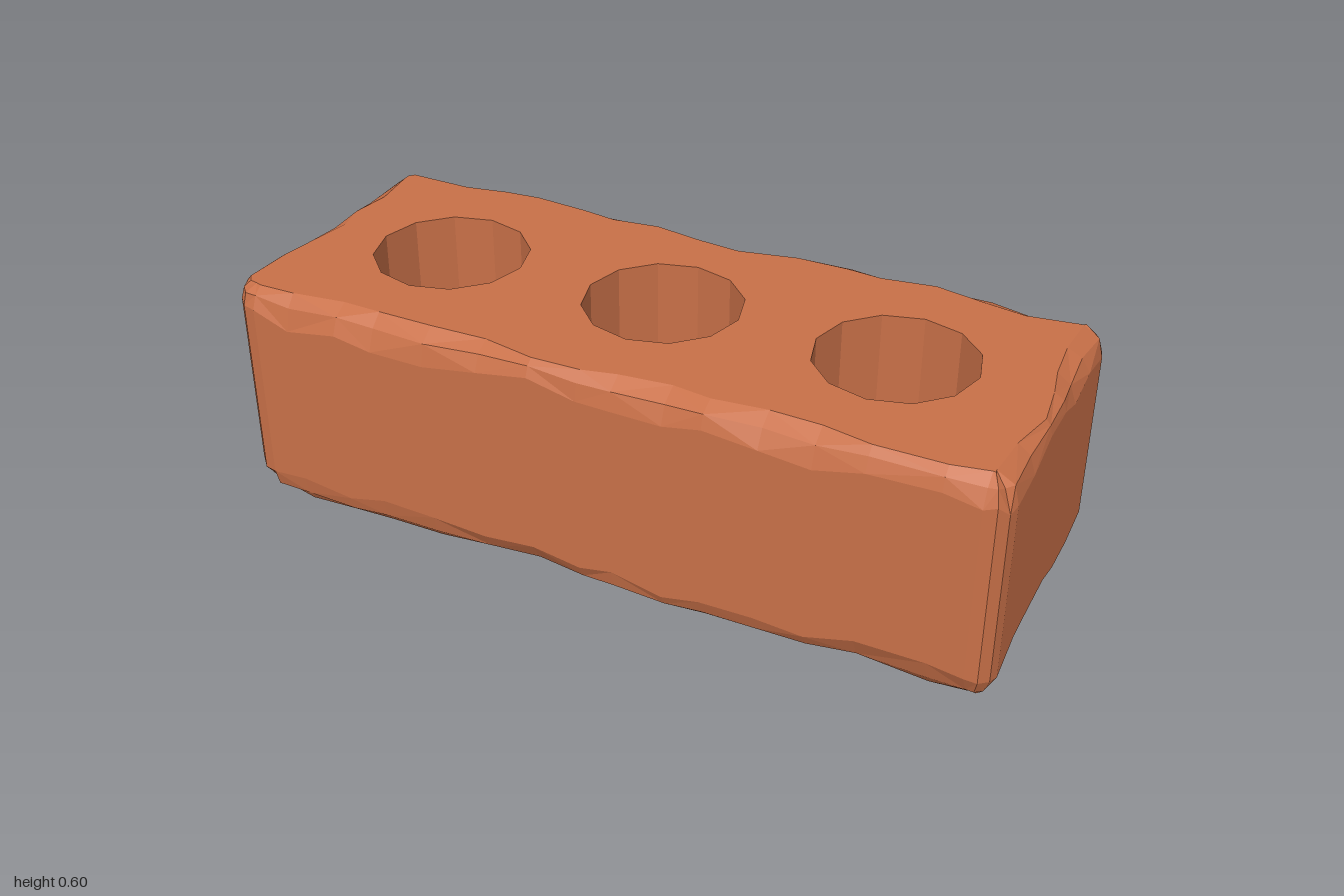
import * as THREE from 'three';

const W = 1, D = 0.4, H = 0.6, HOLE = 0.2, HOLES = [-0.6, 0, 0.6];

// small seeded generator for the chipped edges
function seeded(seed) {
  let s = seed;
  return () => (s = (s * 16807) % 2147483647) / 2147483647;
}

// rounded rectangle in x and z: each point holds its outward direction
function outline(rand) {
  const pts = [];
  const corners = [[1, 1, 0.06], [-1, 1, 0.07], [-1, -1, 0.08], [1, -1, 0.06]];
  corners.forEach(([sx, sz, r], k) => {
    const cx = sx * (W - r), cz = sz * (D - r);
    for (let i = 0; i <= 3; i++) {
      const a = (k + i / 3) * Math.PI / 2;
      const nx = Math.cos(a), nz = Math.sin(a);
      pts.push({ x: cx + nx * r, z: cz + nz * r, nx, nz });
    }
    // irregular steps along the straight side that follows
    const [tx, tz, tr] = corners[(k + 1) % 4];
    const long = k % 2 === 0, n = long ? 15 : 6;
    const a = (k + 1) * Math.PI / 2, nx = Math.cos(a), nz = Math.sin(a);
    for (let i = 1; i < n; i++) {
      const t = (i + (rand() - 0.5) * 0.6) / n;
      pts.push(long
        ? { x: THREE.MathUtils.lerp(cx, tx * (W - tr), t), z: sz * D, nx, nz }
        : { x: sx * W, z: THREE.MathUtils.lerp(cz, tz * (D - tr), t), nx, nz });
    }
  });
  return pts;
}

function brickShell() {
  const rand = seeded(4711);
  const base = outline(rand);
  const at = (p, inset, y) => [p.x - p.nx * inset, y, p.z - p.nz * inset];

  // worn edge: how far it cuts into the flat face and down the side
  const wear = (p, phase) => {
    const wave = 0.5 + 0.3 * Math.sin(p.x * 7 + p.z * 5 + phase) + 0.2 * Math.sin(p.x * 15 - p.z * 9 + phase);
    return { cut: 0.012 + 0.045 * wave + 0.025 * rand(), drop: 0.03 + 0.04 * wave + 0.035 * rand() };
  };

  // vertical profile of every column, bottom to top
  const columns = base.map((p) => {
    const b = wear(p, 1), t = wear(p, 4);
    return [
      at(p, b.cut, 0),
      at(p, b.cut * (0.25 + 0.25 * rand()), b.drop * 0.35),
      at(p, 0, b.drop),
      at(p, 0, H - t.drop),
      at(p, t.cut * (0.2 + 0.25 * rand()), H - t.drop * 0.35),
      at(p, t.cut, H),
    ];
  });

  const pos = [];
  const tri = (a, b, c) => pos.push(...a, ...b, ...c);

  // sides and worn edges, with the diagonal alternating
  columns.forEach((col, j) => {
    const next = columns[(j + 1) % columns.length];
    for (let i = 0; i < col.length - 1; i++) {
      const [a, b, c, d] = [col[i], col[i + 1], next[i + 1], next[i]];
      if ((i + j) % 2) { tri(a, b, d); tri(b, c, d); }
      else { tri(a, b, c); tri(a, c, d); }
    }
  });

  // flat top and bottom, pierced by the holes
  const holes = HOLES.map((x) => Array.from({ length: 12 }, (_, i) => {
    const a = i * Math.PI / 6;
    return new THREE.Vector2(x + HOLE * Math.cos(a), HOLE * Math.sin(a));
  }));
  for (const [row, y, up] of [[0, 0, false], [5, H, true]]) {
    const rim = columns.map((c) => new THREE.Vector2(c[row][0], c[row][2]));
    const all = [...rim, ...holes.flat()];
    for (const f of THREE.ShapeUtils.triangulateShape(rim, holes)) {
      const [a, b, c] = f.map((i) => all[i]);
      const facesDown = (b.x - a.x) * (c.y - a.y) - (b.y - a.y) * (c.x - a.x) > 0;
      const [p, q, r] = [a, b, c].map((v) => [v.x, y, v.y]);
      if (facesDown === up) tri(p, r, q); else tri(p, q, r);
    }
  }

  const geo = new THREE.BufferGeometry();
  geo.setAttribute('position', new THREE.Float32BufferAttribute(pos, 3));
  geo.computeVertexNormals();
  return geo;
}

export function createModel() {
  const model = new THREE.Group();
  model.name = 'brick';
  const clay = new THREE.MeshStandardMaterial({ color: 0xc87048, flatShading: true });
  const inner = clay.clone();
  inner.side = THREE.DoubleSide;

  const body = new THREE.Mesh(brickShell(), clay);
  body.name = 'brickBody';
  model.add(body);

  // twelve-sided walls of the three through holes
  const wall = new THREE.CylinderGeometry(HOLE, HOLE, H, 12, 1, true);
  HOLES.forEach((x, i) => {
    const hole = new THREE.Mesh(wall, inner);
    hole.name = `holeWall${i + 1}`;
    hole.position.set(x, H / 2, 0);
    model.add(hole);
  });
  return model;
}
